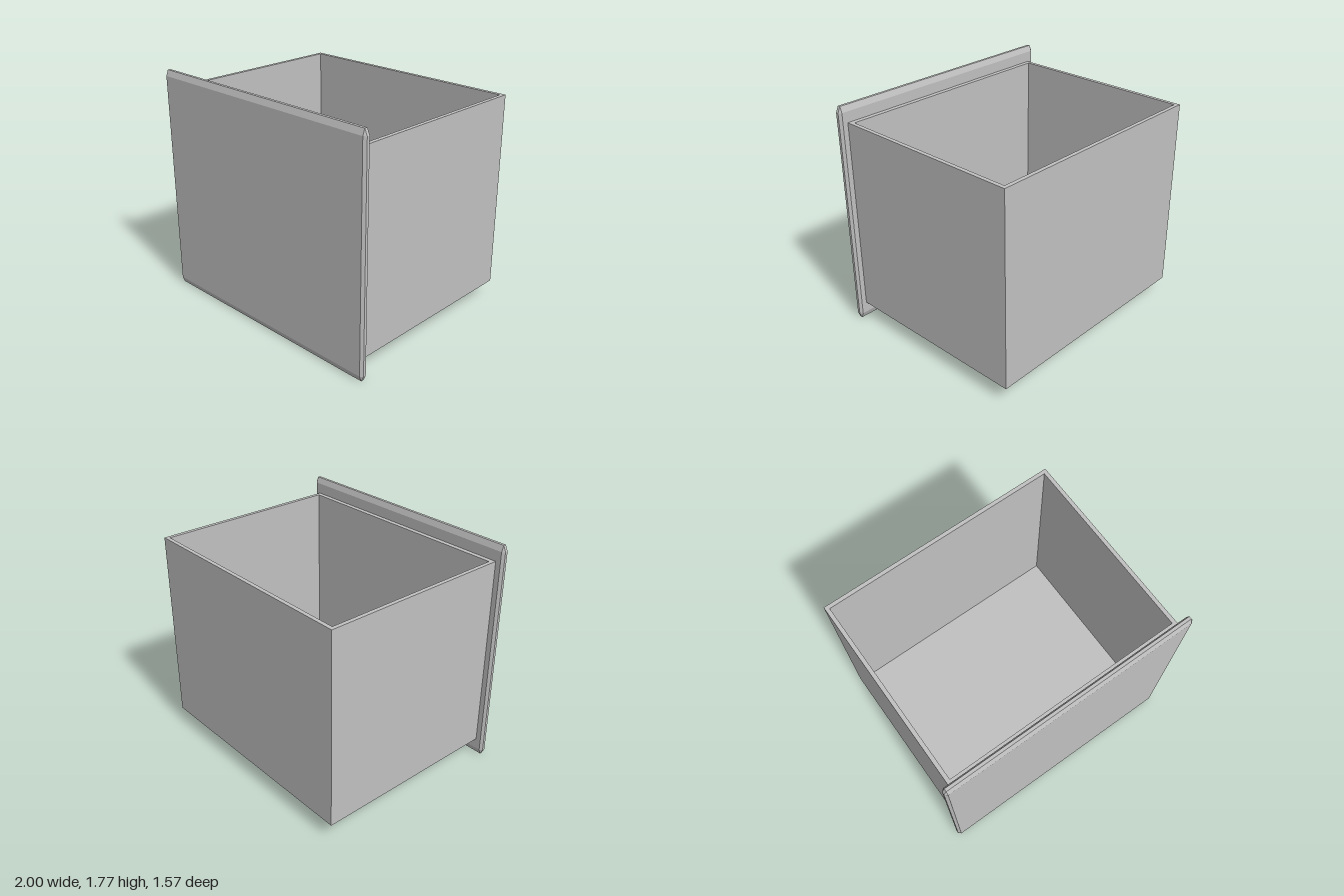
import * as THREE from 'three';
import { ConvexGeometry } from 'three/addons/geometries/ConvexGeometry.js';

// Box with chamfered edges; each inset is how far faces stop short along that axis
function chamferedBox(half, inset) {
  const points = [];
  for (const sx of [-1, 1]) for (const sy of [-1, 1]) for (const sz of [-1, 1]) {
    for (let axis = 0; axis < 3; axis++) {
      const p = half.map((h, i) => (i === axis ? h : h - inset[i]));
      points.push(new THREE.Vector3(p[0] * sx, p[1] * sy, p[2] * sz));
    }
  }
  return new ConvexGeometry(points);
}

export function createModel() {
  const group = new THREE.Group();
  const grey = new THREE.MeshStandardMaterial({ color: 0xc0c0c0 });
  grey.name = 'light grey';

  const add = (name, geometry, x, y, z) => {
    const mesh = new THREE.Mesh(geometry, grey);
    mesh.name = name;
    mesh.position.set(x, y, z);
    group.add(mesh);
  };

  // Open box dimensions
  const halfWidth = 0.94, bottom = 0.13, top = 1.645;
  const back = -0.783, front = 0.726, wall = 0.03, frontWall = 0.036;
  const depth = front - back, height = top - bottom;
  const midZ = (front + back) / 2;

  // Drawer front with chamfered rim
  add('frontPanel', chamferedBox([1, 0.886, 0.028], [0.02, 0.045, 0.017]), 0, 0.886, 0.755);

  // Four walls as one frame (shape y becomes -z)
  const outline = new THREE.Shape([
    new THREE.Vector2(-halfWidth, -front), new THREE.Vector2(halfWidth, -front),
    new THREE.Vector2(halfWidth, -back), new THREE.Vector2(-halfWidth, -back),
  ]);
  const inner = halfWidth - wall;
  outline.holes.push(new THREE.Path([
    new THREE.Vector2(-inner, -front + frontWall), new THREE.Vector2(-inner, -back - wall),
    new THREE.Vector2(inner, -back - wall), new THREE.Vector2(inner, -front + frontWall),
  ]));
  const frame = new THREE.ExtrudeGeometry(outline, { depth: height, bevelEnabled: false });
  frame.rotateX(-Math.PI / 2);
  add('drawerWalls', frame, 0, bottom, 0);

  // Floor fitted between the walls
  const floorDepth = depth - wall - frontWall;
  add('drawerFloor', new THREE.BoxGeometry(inner * 2, wall, floorDepth),
    0, bottom + wall / 2, midZ + (wall - frontWall) / 2);

  return group;
}
